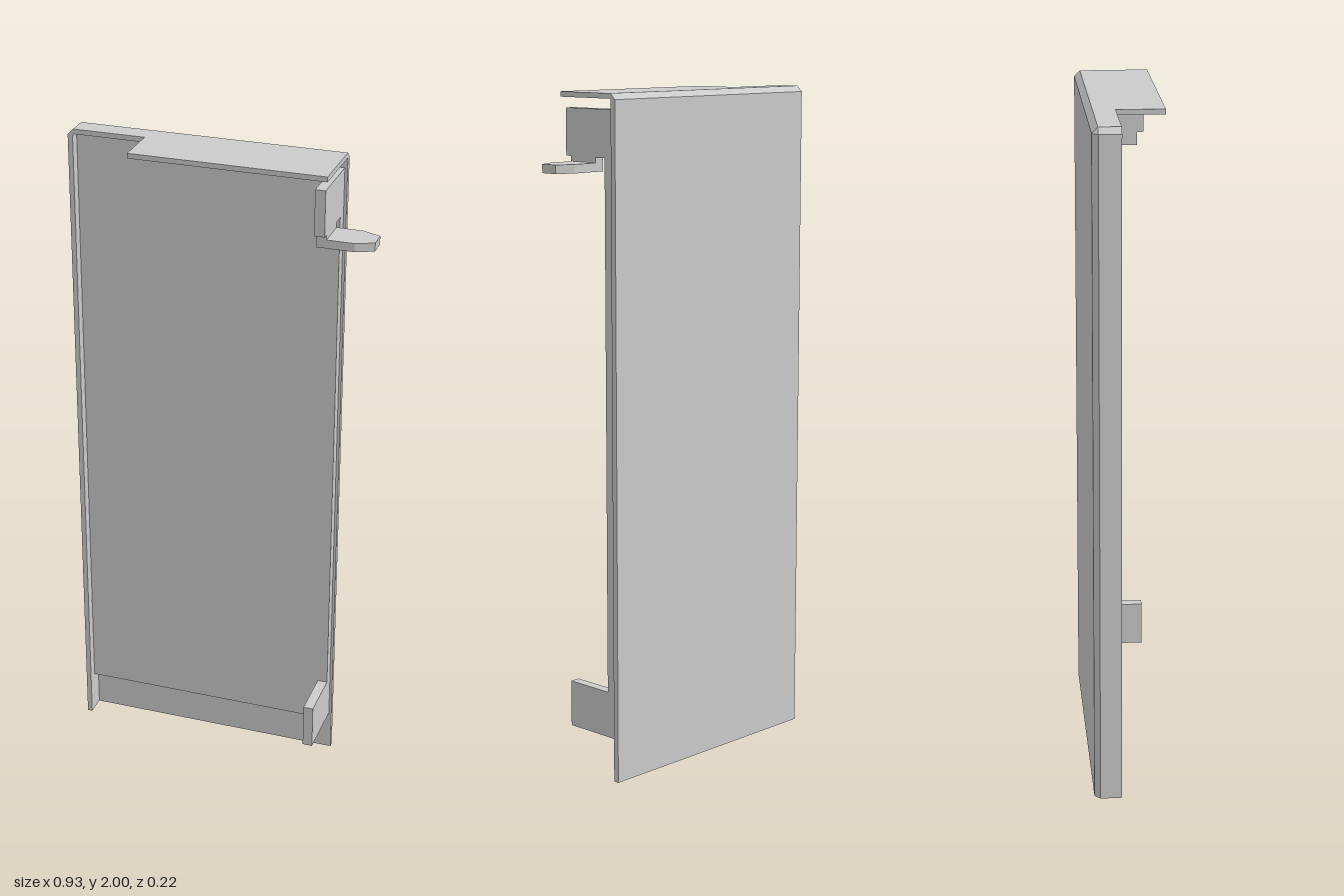
import * as THREE from 'three';
import { ConvexGeometry } from 'three/addons/geometries/ConvexGeometry.js';

const material = new THREE.MeshStandardMaterial({ color: 0xcccccc, flatShading: true });

function extrude(points, depth) {
  const shape = new THREE.Shape(points.map(([a, b]) => new THREE.Vector2(a, b)));
  return new THREE.ExtrudeGeometry(shape, { depth, bevelEnabled: false });
}

export function createModel() {
  const group = new THREE.Group();
  const add = (name, geometry) => {
    const mesh = new THREE.Mesh(geometry, material);
    mesh.name = name;
    group.add(mesh);
  };

  const left = -0.467, right = 0.343, back = -0.11, skin = -0.093;
  const inL = -0.45, inTop = 1.983;

  // Outer skin, chamfered along the top and one side
  const layer = (z, pts) => pts.map(([x, y]) => new THREE.Vector3(x, y, z));
  add('outerSkin', new ConvexGeometry([
    ...layer(back, [[inL, 0], [right, 0], [right, inTop], [inL, inTop]]),
    ...layer(skin, [[left, 0], [right, 0], [right, 2], [inL, 2], [left, inTop]]),
  ]));

  // Folded rim along the side and top
  add('foldedRim', extrude([
    [left, 0], [-0.452, 0], [-0.452, 1.98], [-0.447, 1.985],
    [right, 1.985], [right, 2], [inL, 2], [left, inTop],
  ], 0.063).translate(0, 0, skin));

  // Deeper lip on the top rim
  add('topLip', new THREE.BoxGeometry(0.576, 0.015, 0.138).translate(0.055, 1.9925, 0.039));

  // Inner panel, notched at the top corner
  add('innerPanel', extrude([
    [-0.452, 0.127], [0.335, 0.127], [0.335, 1.955],
    [0.12, 1.955], [0.12, 1.985], [-0.452, 1.985],
  ], 0.033).translate(0, 0, skin));

  // Side tabs, drawn in z and y and extruded across x
  const tab = (name, points) =>
    add(name, extrude(points, 0.03).rotateY(-Math.PI / 2).translate(0.335, 0, 0));
  tab('lowerTab', [[-0.06, 0.127], [0.095, 0.127], [0.095, 0.265], [-0.06, 0.265]]);
  tab('upperTab', [
    [-0.06, 1.82], [-0.023, 1.82], [-0.023, 1.78], [0.075, 1.78],
    [0.075, 1.82], [0.095, 1.82], [0.095, 1.955], [-0.06, 1.955],
  ]);

  // Tapered latch tongue, drawn in x and z
  add('latchTongue', extrude([
    [0.305, -0.023], [0.415, -0.023], [0.467, 0], [0.467, 0.053], [0.415, 0.075], [0.305, 0.075],
  ], 0.025).rotateX(Math.PI / 2).translate(0, 1.805, 0));

  return group;
}
